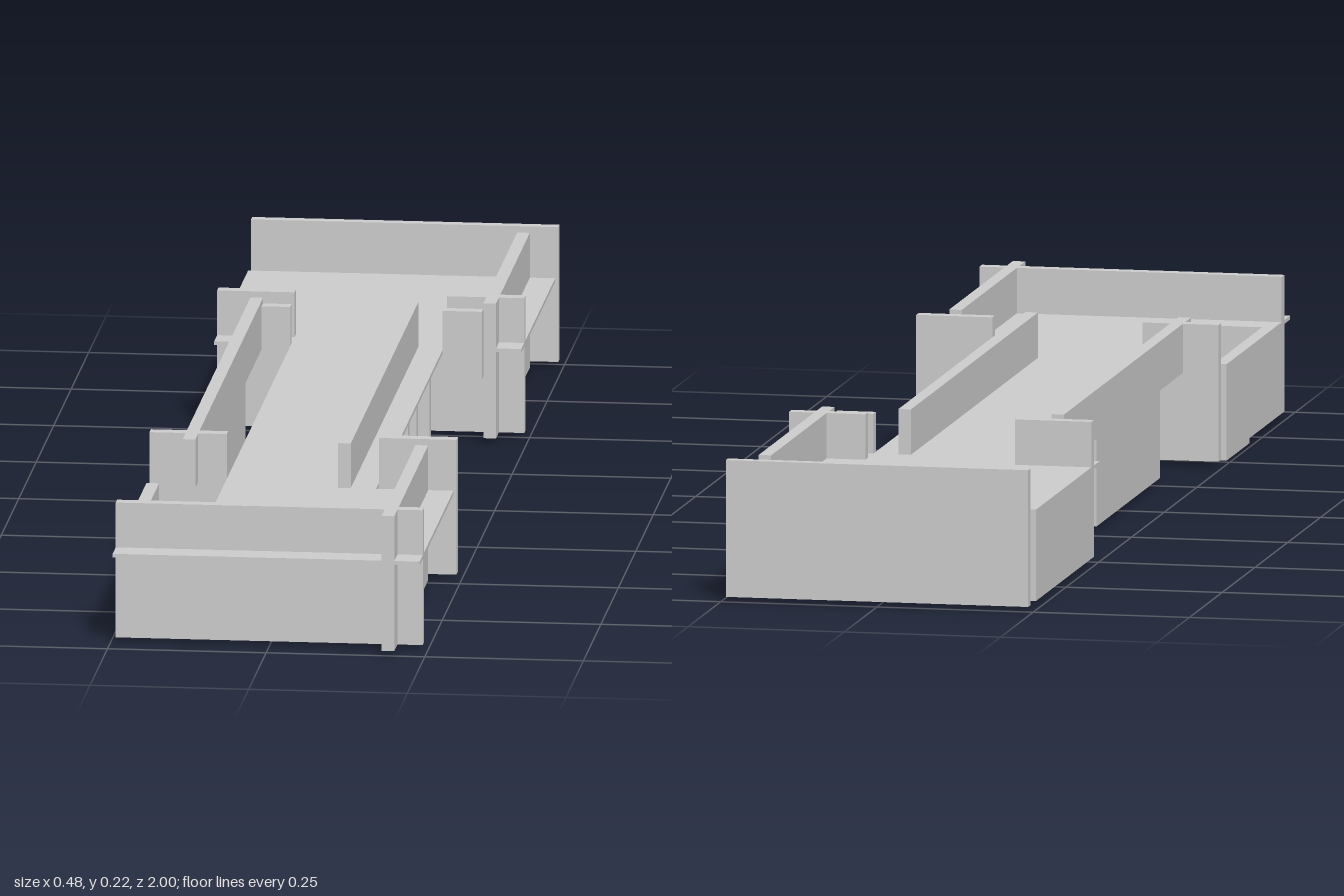
import * as THREE from 'three';

const BASE = 0.008, FLOOR_LOW = 0.147, FLOOR_TOP = 0.153, TOP = 0.225, T = 0.01;

export function createModel() {
  const model = new THREE.Group();
  model.name = 'interlockingPlateModel';
  const material = new THREE.MeshStandardMaterial({ color: 0xcccccc });

  const add = (name, geometry) => {
    const mesh = new THREE.Mesh(geometry, material);
    mesh.name = name;
    model.add(mesh);
    return mesh;
  };
  // Box given by its limits on each axis
  const block = (name, x0, x1, y0, y1, z0, z1) =>
    add(name, new THREE.BoxGeometry(x1 - x0, y1 - y0, z1 - z0))
      .position.set((x0 + x1) / 2, (y0 + y1) / 2, (z0 + z1) / 2);
  // Upright plates running along z or along x
  const alongZ = (name, x, z0, z1, y0 = BASE, y1 = TOP) => block(name, x - T, x + T, y0, y1, z0, z1);
  const alongX = (name, z, x0, x1, y0 = BASE, y1 = TOP) => block(name, x0, x1, y0, y1, z - T, z + T);

  // Floor slab: two wide ends, a narrow middle and a stair well at the front left
  const outline = [
    [-0.242, 1], [0.242, 1], [0.242, 0.515], [0.12, 0.515], [0.12, -0.455], [0.242, -0.455],
    [0.242, -0.94], [-0.242, -0.94], [-0.242, -0.455], [-0.12, -0.455], [-0.12, 0.88], [-0.242, 0.88],
  ];
  const floorShape = new THREE.Shape(outline.map(([x, z]) => new THREE.Vector2(x, -z)));
  const floor = new THREE.ExtrudeGeometry(floorShape, { depth: FLOOR_TOP - FLOOR_LOW, bevelEnabled: false });
  floor.rotateX(-Math.PI / 2).translate(0, FLOOR_LOW, 0);
  add('floor', floor);

  // End walls
  alongX('frontWall', 0.945, -0.242, 0.242);
  block('backWall', -0.242, 0.242, BASE, TOP, -1, -0.983);

  // Right-hand side walls, the rear one with a doorway below the floor
  alongZ('frontSideWall', 0.192, 0.515, 1);
  alongZ('rearSideWallUpper', 0.192, -0.94, -0.455, FLOOR_LOW);
  alongZ('rearSideWallLower', 0.192, -0.94, -0.755, BASE, FLOOR_TOP);
  alongZ('rearSideWallLower', 0.192, -0.63, -0.455, BASE, FLOOR_TOP);

  // Opposite side walls, which stop at floor level
  alongZ('lowFrontSideWall', -0.232, 0.515, 0.95, BASE, FLOOR_TOP);
  alongZ('lowRearSideWall', -0.232, -0.94, -0.5, BASE, FLOOR_TOP);

  // Long walls of the middle part
  for (const x of [0.07, -0.175]) {
    alongZ('corridorWallUpper', x, -0.455, 0.515, FLOOR_LOW);
    alongZ('corridorWallLower', x, -0.205, 0.277, BASE, FLOOR_TOP);
  }

  // Lattice of ribs and cross plates under the middle part
  for (const x of [0, -0.07]) alongZ('lowerRib', x, -0.205, 0.277, BASE, FLOOR_LOW);
  for (const z of [0.23, 0.048, -0.072, -0.26]) alongX('crossPlate', z, -0.12, 0.12, BASE, FLOOR_LOW);

  // Mirrored wing plates, reaching further in below the floor
  for (const side of [1, -1]) {
    for (const z of [0.463, -0.507]) {
      const span = (a, b) => (side > 0 ? [a, b] : [-b, -a]);
      alongX('wingPlateUpper', z, ...span(0.12, 0.242), FLOOR_LOW, TOP);
      alongX('wingPlateLower', z, ...span(0.06, 0.242), BASE, FLOOR_LOW);
    }
  }
  alongX('smallPlate', -0.445, 0.12, 0.182, 0.107, 0.216);
  alongX('smallPlate', -0.445, -0.165, -0.12, 0.107, 0.216);

  // Thin tiles on the ground: stepped landing and rear threshold
  block('landingTile', -0.242, -0.12, 0, BASE, 0.515, 0.69);
  block('landingTile', -0.182, -0.06, 0, BASE, 0.63, 0.755);
  block('landingTile', -0.12, -0.06, 0, BASE, 0.57, 0.63);
  block('thresholdTile', -0.12, 0.12, 0, BASE, -0.75, -0.695);

  return model;
}
